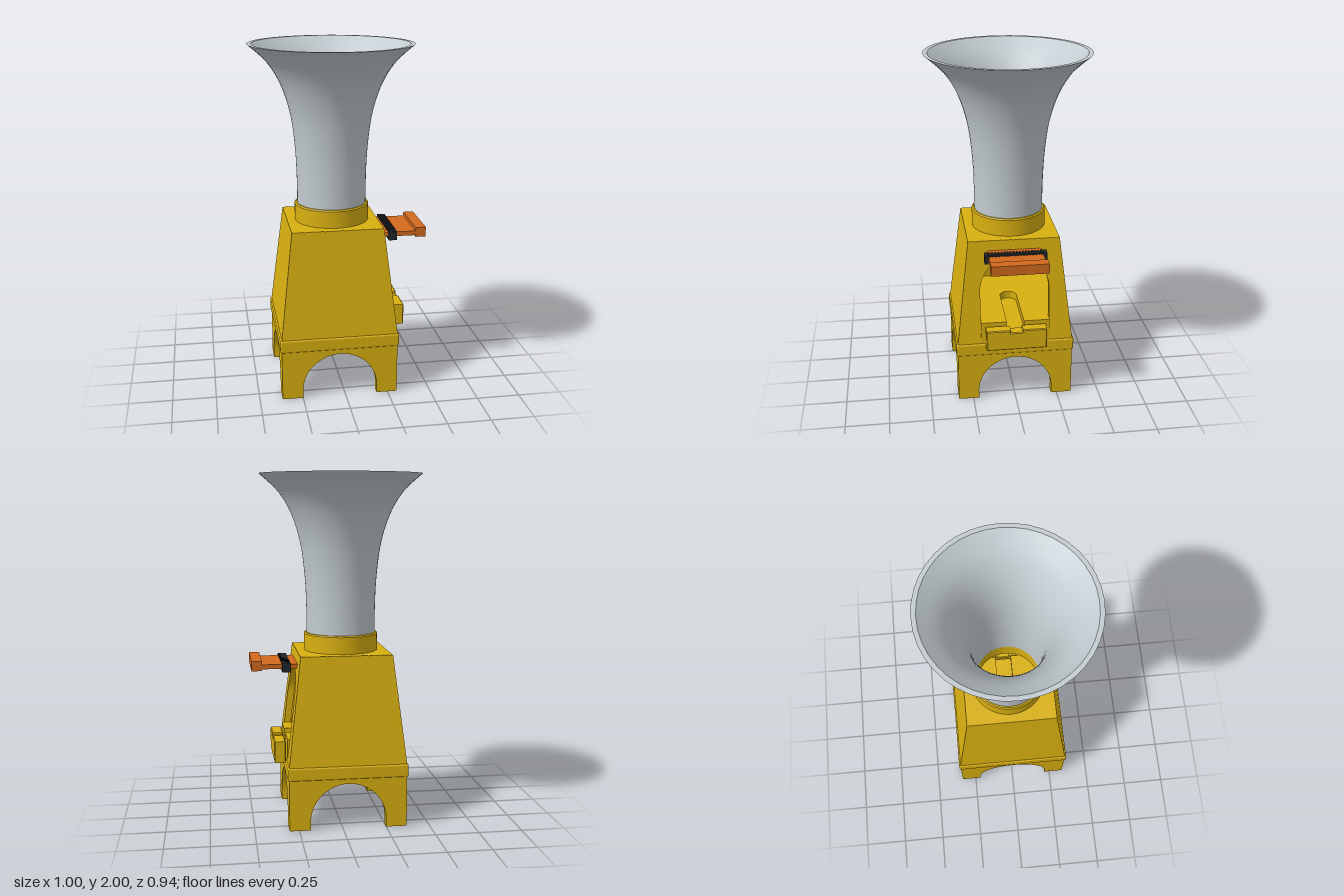
import * as THREE from 'three';
import { toCreasedNormals } from 'three/addons/utils/BufferGeometryUtils.js';
import { RoundedBoxGeometry } from 'three/addons/geometries/RoundedBoxGeometry.js';

const material = (name, color) => {
  const m = new THREE.MeshStandardMaterial({ color });
  m.name = name;
  return m;
};

export function createModel() {
  const yellow = material('yellow plastic', 0xd9b010);
  const grey = material('light grey', 0xc3ccd1);
  const orange = material('orange wood', 0xd2691e);
  const black = material('black cord', 0x23282b);

  const model = new THREE.Group();
  model.name = 'hopperTower';
  const tower = new THREE.Group();
  tower.name = 'tower';
  tower.position.x = -0.032;
  model.add(tower);

  const add = (parent, name, geometry, mat, x = 0, y = 0, z = 0) => {
    const mesh = new THREE.Mesh(geometry, mat);
    mesh.name = name;
    mesh.position.set(x, y, z);
    parent.add(mesh);
    return mesh;
  };
  const box = (parent, name, mat, x0, x1, y0, y1, halfZ, z = 0) =>
    add(parent, name, new THREE.BoxGeometry(x1 - x0, y1 - y0, halfZ * 2), mat,
      (x0 + x1) / 2, (y0 + y1) / 2, z);
  const polygon = (pts) => new THREE.Shape(pts.map(([x, y]) => new THREE.Vector2(x, y)));
  const extrude = (shape, depth) => toCreasedNormals(
    new THREE.ExtrudeGeometry(shape, { depth, bevelEnabled: false, curveSegments: 24 }), 0.6);
  const lathe = (pts, segments) => toCreasedNormals(new THREE.LatheGeometry(
    pts.map(([r, y]) => new THREE.Vector2(r, y)), segments), 0.7);

  // Foot: four walls, each cut by a round arch
  const foot = 0.337, archR = 0.217, archY = 0.048, footWall = 0.045;
  const footShape = new THREE.Shape();
  footShape.moveTo(-foot + 0.005, 0);
  footShape.lineTo(-archR, 0);
  footShape.lineTo(-archR, archY);
  footShape.absarc(0, archY, archR, Math.PI, 0, true);
  footShape.lineTo(archR, 0);
  footShape.lineTo(foot - 0.005, 0);
  footShape.lineTo(foot, 0.005);
  footShape.lineTo(foot, 0.295);
  footShape.lineTo(-foot, 0.295);
  footShape.lineTo(-foot, 0.005);
  const footGeometry = extrude(footShape, footWall);
  footGeometry.translate(0, 0, foot - footWall);

  // Band between the foot and the chamber
  add(tower, 'band', new RoundedBoxGeometry(0.69, 0.075, 0.69, 2, 0.01), yellow, 0, 0.33, 0);

  // Chamber: four leaning walls, the one facing +x with an arched doorway
  const low = 0.36, high = 0.985, wallDepth = 0.04;
  const halfAt = (y) => 0.337 + (0.263 - 0.337) * (y - low) / (high - low);
  const wallGeometry = (withDoor) => {
    const a = halfAt(low), b = halfAt(high);
    const shape = polygon([[-a, low], [a, low], [b, high], [-b, high]]);
    if (withDoor) {
      const door = new THREE.Path();
      door.moveTo(-0.2, 0.43);
      door.lineTo(0.2, 0.43);
      door.lineTo(0.2, 0.69);
      door.absarc(0, 0.69, 0.2, 0, Math.PI, false);
      door.lineTo(-0.2, 0.43);
      shape.holes.push(door);
    }
    const g = new THREE.ExtrudeGeometry(shape,
      { depth: wallDepth, bevelEnabled: false, curveSegments: 24 });
    const p = g.attributes.position;
    for (let i = 0; i < p.count; i++) p.setZ(i, p.getZ(i) - wallDepth + halfAt(p.getY(i)));
    return toCreasedNormals(g, 0.6);
  };
  ['front', 'left', 'back', 'right'].forEach((side, i) => {
    const turn = i * Math.PI / 2;
    add(tower, side + 'Foot', footGeometry, yellow).rotation.y = turn;
    add(tower, side + 'Wall', wallGeometry(i === 1), yellow).rotation.y = turn;
  });

  // Chamber roof with the round hole of the chute
  const roof = polygon([[-0.262, -0.262], [0.262, -0.262], [0.262, 0.262], [-0.262, 0.262]]);
  roof.holes.push(new THREE.Path().absarc(0, 0, 0.182, 0, Math.PI * 2, true));
  const roofGeometry = extrude(roof, 0.04);
  roofGeometry.rotateX(-Math.PI / 2);
  add(tower, 'roof', roofGeometry, yellow, 0, 0.946, 0);

  // Chamber floor with a round-ended groove running out of the doorway
  const floor = new THREE.Shape();
  floor.moveTo(-0.3, -0.28);
  floor.lineTo(0.27, -0.28);
  floor.lineTo(0.27, -0.2);
  floor.lineTo(0.335, -0.2);
  floor.lineTo(0.335, -0.05);
  floor.lineTo(0, -0.05);
  floor.absarc(0, 0, 0.05, -Math.PI / 2, Math.PI / 2, true);
  floor.lineTo(0.335, 0.05);
  floor.lineTo(0.335, 0.2);
  floor.lineTo(0.27, 0.2);
  floor.lineTo(0.27, 0.28);
  floor.lineTo(-0.3, 0.28);
  const floorGeometry = extrude(floor, 0.05);
  floorGeometry.rotateX(-Math.PI / 2);
  add(tower, 'chamberFloor', floorGeometry, yellow, 0, 0.45, 0);
  box(tower, 'grooveBottom', yellow, -0.29, 0.335, 0.36, 0.455, 0.2);

  // Collar and flared hopper
  add(tower, 'collar', lathe([[0.182, 0.98], [0.215, 0.98], [0.215, 1.083], [0.208, 1.09],
    [0.182, 1.09], [0.182, 0.98]], 48), yellow);
  const flare = new THREE.SplineCurve([[0.2, 1.05], [0.2, 1.2], [0.208, 1.4], [0.233, 1.6],
    [0.285, 1.77], [0.362, 1.9], [0.47, 2]].map(([r, y]) => new THREE.Vector2(r, y)));
  const outer = flare.getPoints(24).map((p) => [p.x, p.y]);
  const inner = outer.map(([r, y]) => [r - 0.018 - 0.007 * (y - 1.05) / 0.95, y]).reverse();
  add(tower, 'hopper', lathe([...outer, ...inner, outer[0]], 40), grey);

  // Catch box below the doorway, notched at the top
  const catchShape = polygon([[-0.17, 0.36], [0.17, 0.36], [0.17, 0.475], [0.04, 0.475],
    [0.04, 0.46], [-0.04, 0.46], [-0.04, 0.475], [-0.17, 0.475]]);
  const catchGeometry = toCreasedNormals(new THREE.ExtrudeGeometry(catchShape, {
    depth: 0.055, bevelEnabled: true, bevelSize: 0.005, bevelThickness: 0.005, bevelSegments: 1,
  }), 0.3);
  catchGeometry.rotateY(Math.PI / 2);
  add(model, 'catchBox', catchGeometry, yellow, 0.315, 0, 0);

  // Flap above the doorway: thin board with a thick outer edge
  const flap = new THREE.Group();
  flap.name = 'flap';
  model.add(flap);
  box(flap, 'flapBoard', orange, 0.225, 0.445, 0.902, 0.928, 0.155);
  box(flap, 'flapEdge', orange, 0.44, 0.5, 0.893, 0.95, 0.16);

  // Cord wound around the board
  box(flap, 'cordCore', black, 0.284, 0.32, 0.89, 0.932, 0.17);
  const turns = 20;
  for (let i = 0; i < turns; i++) {
    const z = -0.165 + 0.33 * i / (turns - 1);
    box(flap, 'cordTurn', black, 0.278, 0.326, 0.886, 0.936, 0.005, z);
  }
  for (const s of [-1, 1]) box(flap, 'cordEnd', black, 0.278, 0.326, 0.885, 0.937, 0.01, s * 0.167);

  return model;
}
